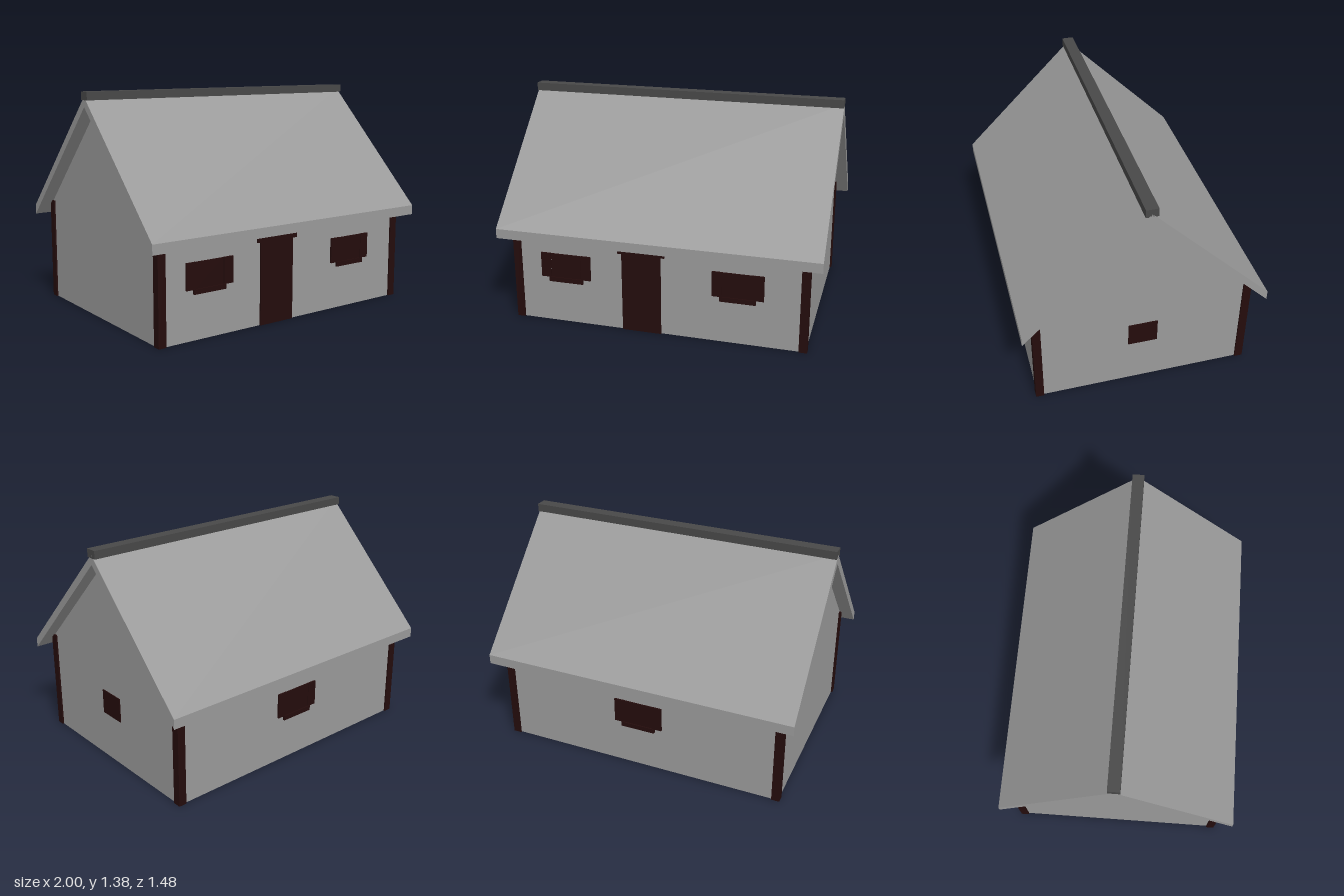
import * as THREE from 'three';

export function createModel() {
  const house = new THREE.Group();
  house.name = 'cottage';

  const material = (name, color) => {
    const m = new THREE.MeshStandardMaterial({ color });
    m.name = name;
    return m;
  };
  const grey = material('lightGrey', 0x9a9a9a);
  const dark = material('darkGrey', 0x484848);
  const timber = material('darkTimber', 0x240c0c);

  // Box given by its two extreme corners
  function box(parent, name, mat, [x0, y0, z0], [x1, y1, z1]) {
    const mesh = new THREE.Mesh(new THREE.BoxGeometry(x1 - x0, y1 - y0, z1 - z0), mat);
    mesh.position.set((x0 + x1) / 2, (y0 + y1) / 2, (z0 + z1) / 2);
    mesh.name = name;
    parent.add(mesh);
    return mesh;
  }

  // Profile in (z, y), extruded along x and centred
  function extrudeAlongX(name, mat, points, length) {
    const shape = new THREE.Shape(points.map(([z, y]) => new THREE.Vector2(z, y)));
    const geo = new THREE.ExtrudeGeometry(shape, { depth: length, bevelEnabled: false });
    geo.translate(0, 0, -length / 2);
    geo.rotateY(Math.PI / 2);
    const mesh = new THREE.Mesh(geo, mat);
    mesh.name = name;
    house.add(mesh);
  }

  // Floor, walls, ceiling slab and gables
  const wx = 0.915, wz = 0.66;
  box(house, 'floor', grey, [-wx, 0, -wz], [wx, 0.01, wz]);
  box(house, 'walls', grey, [-wx, 0.01, -wz], [wx, 0.635, wz]);
  box(house, 'ceilingSlab', grey, [-wx, 0.635, -wz], [wx, 0.645, wz]);
  extrudeAlongX('gables', grey, [[-0.65, 0.645], [0.65, 0.645], [0, 1.295]], wx * 2);

  // Steep roof with overhanging eaves, and its ridge cap
  extrudeAlongX('roof', grey, [
    [-0.74, 0.55], [0, 1.29], [0.74, 0.55],
    [0.74, 0.61], [0, 1.35], [-0.74, 0.61],
  ], 2);
  box(house, 'ridgeCap', dark, [-1, 1.33, -0.037], [1, 1.38, 0.037]);

  // Corner posts
  for (const sx of [-1, 1]) {
    for (const sz of [-1, 1]) {
      const post = box(house, 'cornerPost', timber, [-0.025, 0, -0.025], [0.025, 0.645, 0.025]);
      post.position.x = sx * 0.9;
      post.position.z = sz * 0.645;
    }
  }

  // Door and lintel
  box(house, 'door', timber, [-0.215, 0, 0.65], [0.03, 0.505, 0.67]);
  box(house, 'doorLintel', timber, [-0.24, 0.505, 0.65], [0.055, 0.535, 0.675]);

  // Shuttered window with a sill, facing +z
  function shutteredWindow(x, gap, atBack) {
    const g = new THREE.Group();
    g.name = 'shutteredWindow';
    box(g, 'windowPane', timber, [-0.095, 0.3, 0.655], [0.095, 0.455, 0.668]);
    box(g, 'windowSill', timber, [-0.11, 0.27, 0.655], [0.11, 0.3, 0.675]);
    for (const s of [-1, 1]) {
      const shutter = box(g, 'shutter', timber, [-0.031, 0.298, 0.655], [0.031, 0.456, 0.671]);
      shutter.position.x = s * (0.126 + gap);
    }
    g.position.x = x;
    if (atBack) g.rotation.y = Math.PI;
    house.add(g);
  }
  shutteredWindow(-0.58, 0.004, false);
  shutteredWindow(0.503, 0, false);
  shutteredWindow(0, 0, true);

  // Plain window on the left end wall
  box(house, 'endWindow', timber, [0.905, 0.3, -0.09], [0.921, 0.455, 0.09]);

  return house;
}
